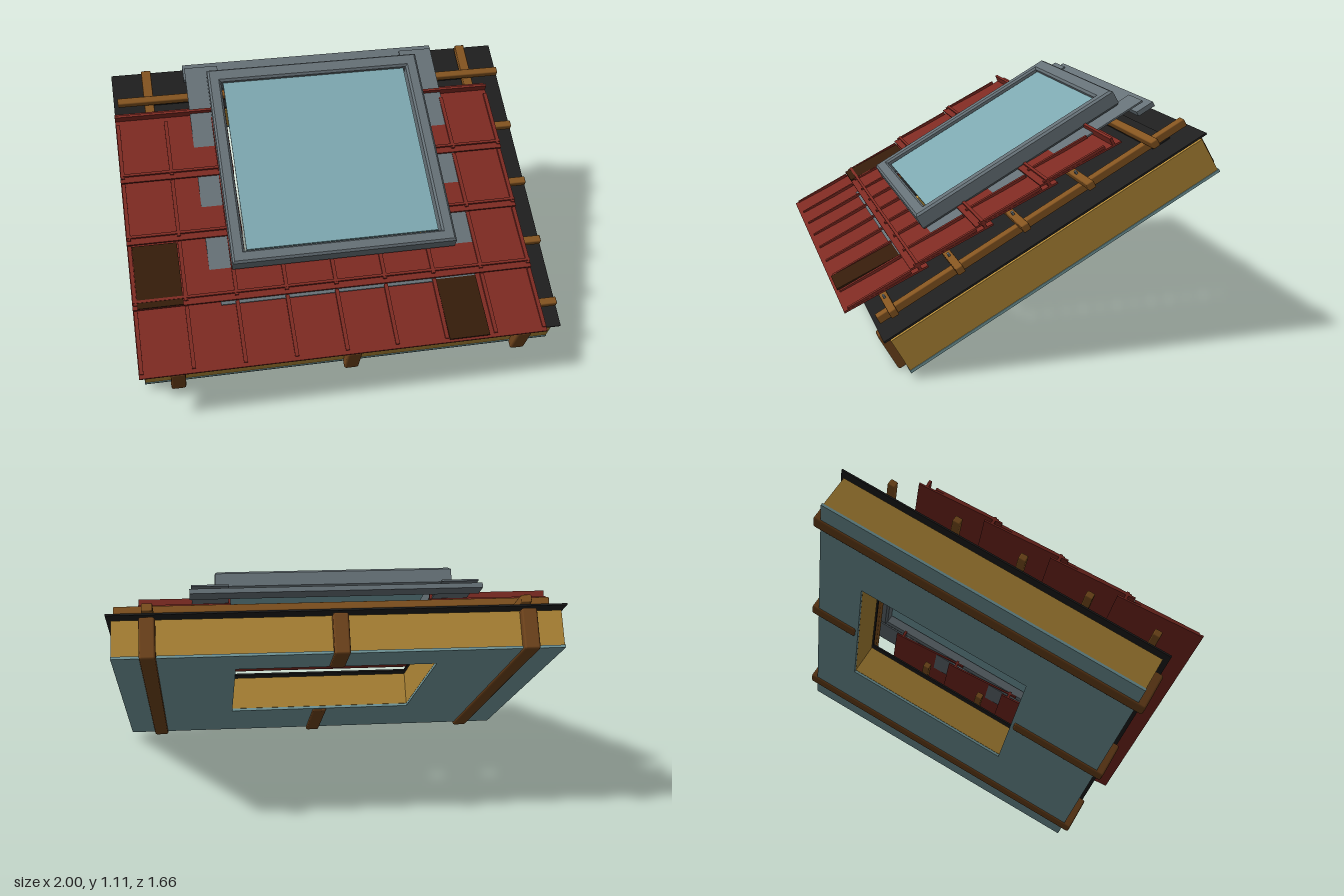
import * as THREE from 'three';
import { RoundedBoxGeometry } from 'three/addons/geometries/RoundedBoxGeometry.js';

const mat = (name, color) => {
  const m = new THREE.MeshStandardMaterial({ color });
  m.name = name;
  return m;
};

export function createModel() {
  const model = new THREE.Group();
  model.name = 'roofWindowSection';
  // everything is laid out flat (y = normal, z = down the slope) and then pitched
  const roof = new THREE.Group();
  roof.name = 'pitchedRoof';
  roof.rotation.x = Math.PI / 6;
  model.add(roof);

  const tileRed = mat('tileRed', 0x7d2a22);
  const patchBrown = mat('darkPatch', 0x351c0a);
  const metal = mat('greyMetal', 0x667177);
  const glassMat = mat('paleGlass', 0x7da8b0);
  const liningMat = mat('tealLining', 0x769da1);
  const insulationMat = mat('yellowInsulation', 0xb08736);
  const rafterMat = mat('rafterBrown', 0x70441c);
  const battenMat = mat('battenBrown', 0x845420);
  const membraneMat = mat('blackMembrane', 0x1f1f1f);

  // box from its min and max along each axis, with eased edges if a radius is given
  function box(name, m, x0, x1, y0, y1, z0, z1, parent = roof, radius = 0) {
    const size = [x1 - x0, y1 - y0, z1 - z0];
    const geo = radius ? new RoundedBoxGeometry(...size, 1, radius) : new THREE.BoxGeometry(...size);
    const mesh = new THREE.Mesh(geo, m);
    mesh.position.set((x0 + x1) / 2, (y0 + y1) / 2, (z0 + z1) / 2);
    mesh.name = name;
    parent.add(mesh);
    return mesh;
  }

  const rect = (path, x0, x1, z0, z1) => path
    .moveTo(x0, -z1).lineTo(x1, -z1).lineTo(x1, -z0).lineTo(x0, -z0).closePath();

  // flat slab with a rectangular opening
  function ring(name, m, y0, y1, [ox, oz0, oz1], [ix, iz0, iz1], bevel = 0) {
    const shape = new THREE.Shape();
    rect(shape, -ox + bevel, ox - bevel, oz0 + bevel, oz1 - bevel);
    const hole = new THREE.Path();
    rect(hole, -ix - bevel, ix + bevel, iz0 - bevel, iz1 + bevel);
    shape.holes.push(hole);
    const geo = new THREE.ExtrudeGeometry(shape, {
      depth: y1 - y0 - 2 * bevel, bevelEnabled: bevel > 0,
      bevelSize: bevel, bevelThickness: bevel, bevelSegments: 1,
    });
    geo.rotateX(-Math.PI / 2).translate(0, y0 + bevel, 0);
    const mesh = new THREE.Mesh(geo, m);
    mesh.name = name;
    roof.add(mesh);
  }

  // layers with the window opening cut through
  const opening = [0.45, -0.87, 0.01];
  ring('innerLining', liningMat, 0.309, 0.321, [0.98, -1.098, 0.48], opening);
  ring('insulation', insulationMat, 0.322, 0.48, [0.978, -1.092, 0.477], opening);
  ring('membrane', membraneMat, 0.496, 0.504, [1, -1.115, 0.503], [0.45, -0.87, 0.01]);
  box('drainChannel', membraneMat, -0.83, 0.83, 0.504, 0.509, -1.01, -0.92);

  // rafters, the middle one interrupted by the opening
  for (const x of [-0.825, 0, 0.825]) {
    const spans = x ? [[-1.132, 0.518]] : [[-1.132, -0.885], [0.025, 0.518]];
    for (const [z0, z1] of spans)
      box('rafter', rafterMat, x - 0.035, x + 0.035, 0.298, 0.484, z0, z1, roof, 0.01);
  }

  // counter battens up the slope
  for (const x of [-0.825, 0.825])
    box('counterBatten', battenMat, x - 0.024, x + 0.024, 0.517, 0.553, -1.1, 0.479, roof, 0.005);

  // tile battens across, two of them cut at the window
  const step = 0.327;
  for (let i = 0; i < 5; i++) {
    const z = 0.404 - step * i;
    const cut = i === 2 || i === 3;
    const spans = cut ? [[-0.98, -0.5], [0.5, 0.98]] : [[-0.98, 0.98]];
    for (const [x0, x1] of spans)
      box('tileBatten', battenMat, x0, x1, 0.56, 0.595, z - 0.018, z + 0.018, roof, 0.006);
    for (const x of [-0.88, -0.65, 0.58, 0.81])
      if (i < 4) box('tileClip', metal, x - 0.01, x + 0.01, 0.595, 0.608, z - 0.005, z + 0.005);
  }

  // four overlapping tile courses; inside each group z runs from -0.2 (top) to 0.2 (lip)
  const left = -1, right = 0.875, gap = 0.46;
  for (let i = 0; i < 4; i++) {
    const course = new THREE.Group();
    course.name = 'tileCourse';
    course.position.set(0, 0.645, 0.377 - step * i);
    course.rotation.x = -0.073;
    roof.add(course);
    const cutZ = [-0.2, -0.01, 0.2, 0.2][i]; // tiles above this line are cut at the window
    const pieces = [];
    if (cutZ < 0.2) pieces.push([left, right, cutZ, 0.2]);
    if (cutZ > -0.2) pieces.push([left, -gap, -0.2, cutZ], [gap, right, -0.2, cutZ]);
    for (const [x0, x1, z0, z1] of pieces)
      box('tileSheet', tileRed, x0, x1, -0.004, 0.004, z0, z1, course);
    // raised bar near the top edge, standing proud of the next course
    const bars = cutZ > -0.2 ? [[left, -gap], [gap, right]] : [[left, right]];
    for (const [x0, x1] of bars)
      box('tileBar', tileRed, x0, x1, 0.003, 0.037, -0.17, -0.157, course);
    // ribs between tiles, level with the roof
    for (let k = 0; k < 9; k++) {
      const x = -0.988 + 0.2315 * k;
      const z0 = Math.max(Math.abs(x) < gap ? cutZ : -0.125, -0.125);
      if (z0 > 0.18) continue;
      const rib = box('tileRib', tileRed, x - 0.009, x + 0.009, 0.003, 0.015, z0, 0.18, course);
      rib.rotation.x = 0.03;
    }
    if (i === 0) box('darkTile', patchBrown, 0.412, 0.602, 0.003, 0.011, -0.13, 0.188, course);
    if (i === 1) box('darkTile', patchBrown, -0.978, -0.77, 0.003, 0.011, -0.125, 0.199, course);
  }

  // metal flashing around the window
  for (const s of [-1, 1]) {
    const [x0, x1] = s < 0 ? [-0.635, -0.47] : [0.47, 0.635];
    box('sideFlashing', metal, x0, x1, 0.644, 0.6515, -1.03, 0.12);
  }
  box('frontApron', metal, -0.6, 0.6, 0.641, 0.647, 0.05, 0.262);
  box('topFlashing', metal, -0.643, 0.643, 0.6, 0.622, -1.068, -0.98);

  // window
  ring('windowFrame', metal, 0.656, 0.735, [0.53, -0.956, 0.101], [0.468, -0.885, 0.04], 0.01);
  box('windowGlass', glassMat, -0.457, 0.457, 0.704, 0.714, -0.884, 0.03);
  return model;
}
